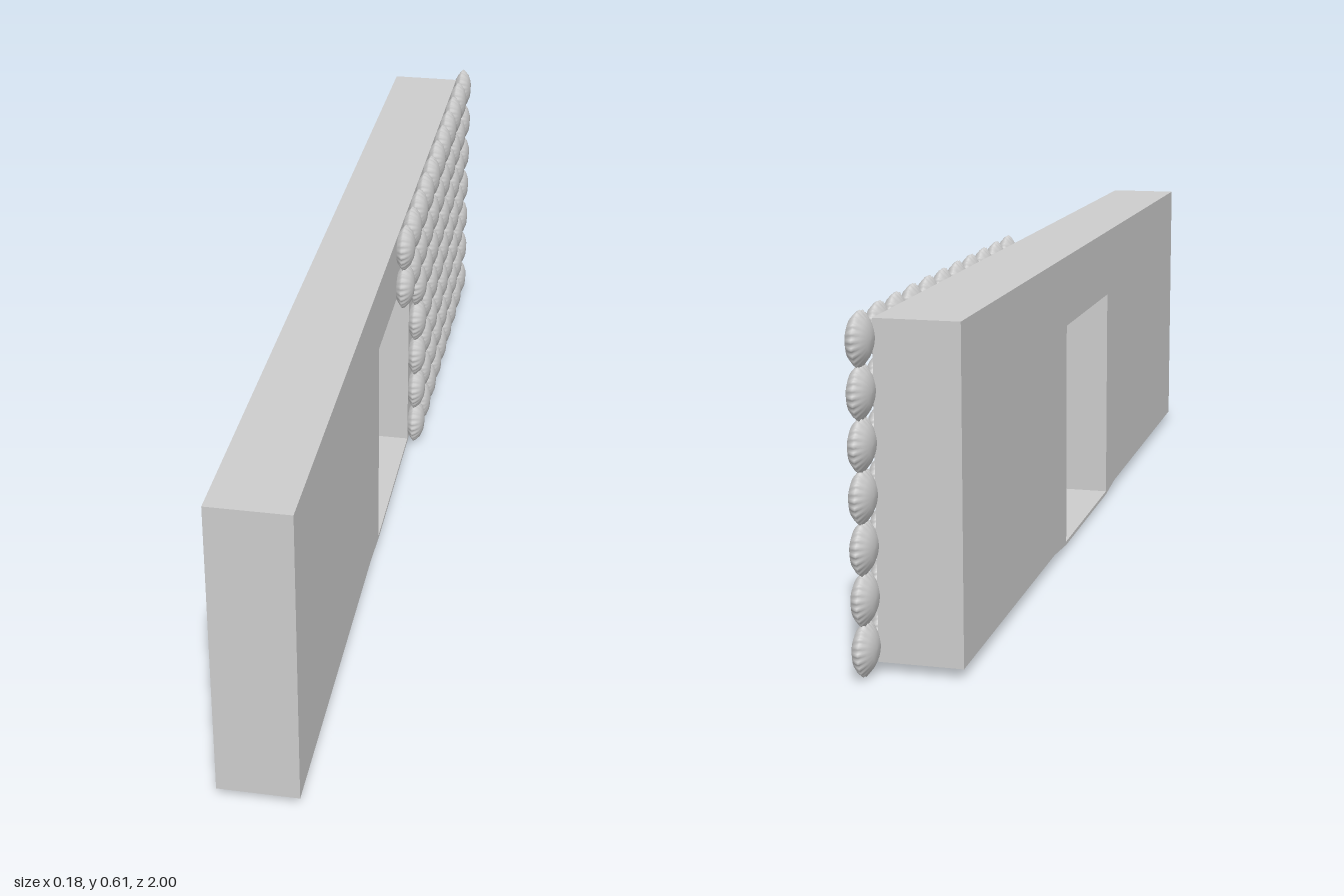
import * as THREE from 'three';

const TEETH = 21;

// Crown cap: a flat double-domed disc whose rim is pleated into teeth; axis along +x
function capGeometry() {
  const profile = [
    [0, -0.018], [0.02, -0.017], [0.033, -0.011], [0.04, -0.005], [0.0455, 0],
    [0.0425, 0.006], [0.035, 0.014], [0.021, 0.0195], [0, 0.021],
  ].map(([r, y]) => new THREE.Vector2(r, y));
  const geo = new THREE.LatheGeometry(profile, TEETH * 4);
  const p = geo.attributes.position;
  for (let i = 0; i < p.count; i++) {
    const x = p.getX(i), z = p.getZ(i);
    const r = Math.hypot(x, z);
    const pleat = THREE.MathUtils.smoothstep(r, 0.034, 0.045) * Math.cos(TEETH * Math.atan2(z, x));
    const k = 1 + 0.045 * pleat;
    p.setXYZ(i, x * k, p.getY(i), z * k);
  }
  geo.rotateZ(-Math.PI / 2);
  geo.computeVertexNormals();
  return geo;
}

export function createModel() {
  const model = new THREE.Group();
  model.name = 'wallWithCaps';
  const grey = new THREE.MeshStandardMaterial({ color: 0xcccccc });
  grey.name = 'plainGrey';

  // Wall outline in (z, y), dipping slightly under the doorway
  const outline = new THREE.Shape([
    [1, 0.022], [1, 0.6], [-0.93, 0.6], [-0.93, 0.022],
    [-0.29, 0.022], [-0.19, 0.013], [0.2, 0.013], [0.29, 0.022],
  ].map(([z, y]) => new THREE.Vector2(z, y)));
  outline.holes.push(new THREE.Path([
    [-0.19, 0.02], [0.2, 0.02], [0.2, 0.462], [-0.19, 0.462],
  ].map(([z, y]) => new THREE.Vector2(z, y))));
  const wall = new THREE.Mesh(
    new THREE.ExtrudeGeometry(outline, { depth: 0.147, bevelEnabled: false }), grey);
  wall.name = 'wall';
  wall.rotation.y = -Math.PI / 2;
  wall.position.x = 0.057;
  model.add(wall);

  // Grid of caps; above the doorway only the top two rows continue
  const caps = new THREE.Group();
  caps.name = 'caps';
  const geo = capGeometry();
  for (let col = 0; col < 11; col++) {
    for (let row = 0; row < 7; row++) {
      if (col < 2 && row < 5) continue;
      const cap = new THREE.Mesh(geo, grey);
      cap.name = 'cap';
      cap.position.set(0.069, 0.052 + row * 0.0862, -0.038 - col * 0.0914);
      cap.rotation.x = col * 1.3 + row * 0.7;
      caps.add(cap);
    }
  }
  model.add(caps);
  return model;
}
